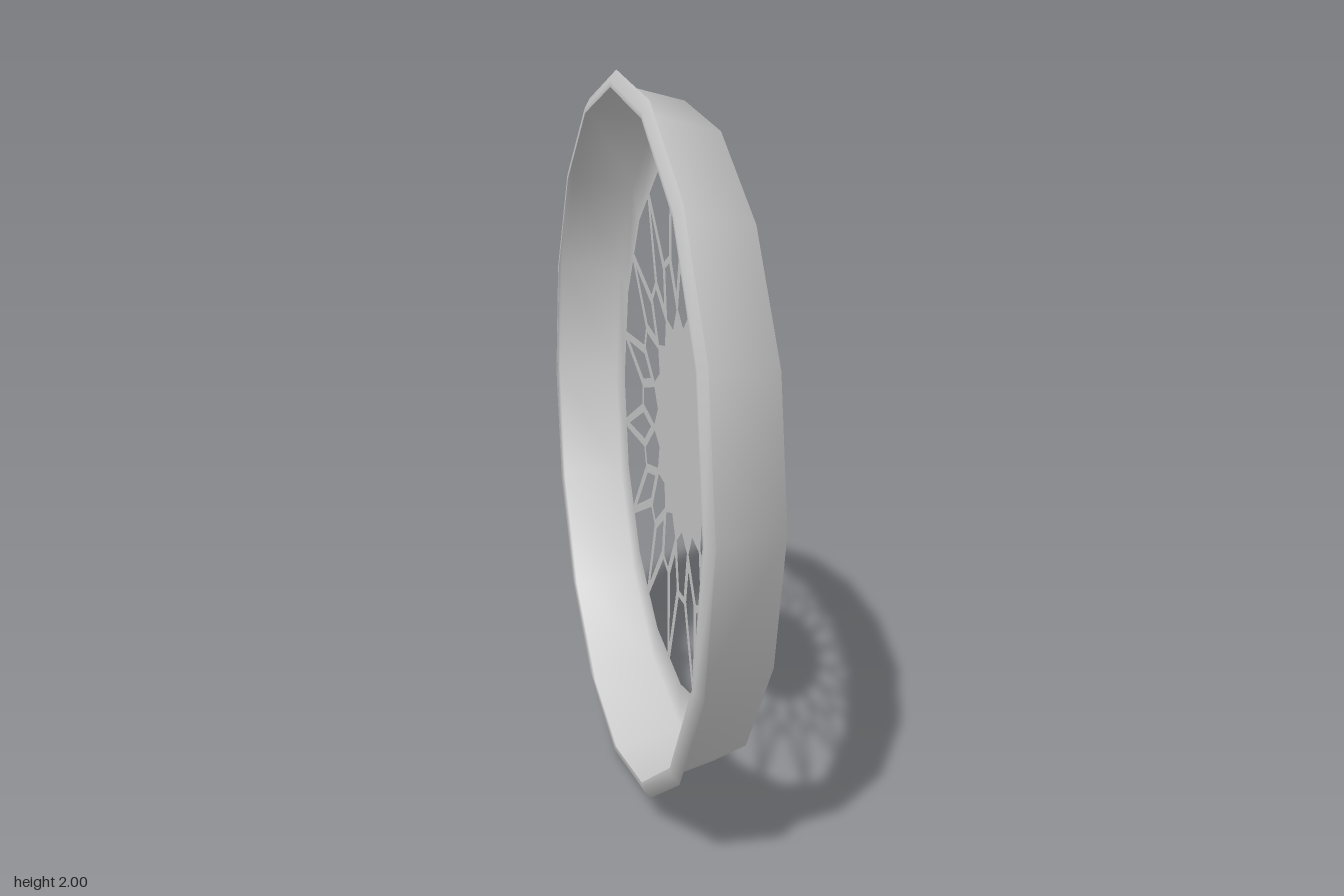
import * as THREE from 'three';

const SIDES = 16;
const FACE_X = 0.102;

// Point at radius r, at an angle in degrees from straight up, turned by k steps
const polar = (r, deg, k) => {
  const a = THREE.MathUtils.degToRad(deg + (k * 360) / SIDES);
  return new THREE.Vector2(r * Math.sin(a), r * Math.cos(a));
};

export function createModel() {
  const material = new THREE.MeshStandardMaterial({ color: 0xcccccc, side: THREE.DoubleSide });
  const wheel = new THREE.Group();
  wheel.name = 'wheelRim';

  // Rim shell: rear lip, tapered barrel and front face ring
  const profile = [
    [0.955, -0.102], [0.97, -0.102], [1.0, -0.085],
    [0.965, -0.085], [0.92, FACE_X], [0.78, FACE_X],
  ].map(([r, x]) => new THREE.Vector2(r, x));
  const rim = new THREE.Mesh(new THREE.LatheGeometry(profile, SIDES), material);
  rim.name = 'rim';
  rim.rotation.z = -Math.PI / 2;
  wheel.add(rim);

  // Spoke lattice and hub: one flat sheet, with open wedges along its edge
  const outline = [];
  const holes = [];
  for (let k = 0; k < SIDES; k++) {
    outline.push(
      polar(0.765, -10.1, k), polar(0.513, -3.5, k),
      polar(0.513, 3.5, k), polar(0.765, 10.1, k),
    );
    // Long diamond between two crossing spokes
    holes.push([[0.715, 11.25], [0.498, 6.35], [0.4, 11.25], [0.498, 16.15]].map(([r, d]) => polar(r, d, k)));
    // Small opening between the hub and the crossing
    holes.push([[0.491, -3.1], [0.491, 3.1], [0.35, 9.7], [0.3, 0], [0.35, -9.7]].map(([r, d]) => polar(r, d, k)));
  }
  const shape = new THREE.Shape(outline);
  shape.holes = holes.map((points) => new THREE.Path(points));
  const spokes = new THREE.Mesh(new THREE.ShapeGeometry(shape), material);
  spokes.name = 'spokesAndHub';
  spokes.rotation.y = Math.PI / 2;
  spokes.position.x = FACE_X;
  wheel.add(spokes);

  wheel.position.y = 1;
  const model = new THREE.Group();
  model.name = 'model';
  model.add(wheel);
  return model;
}
